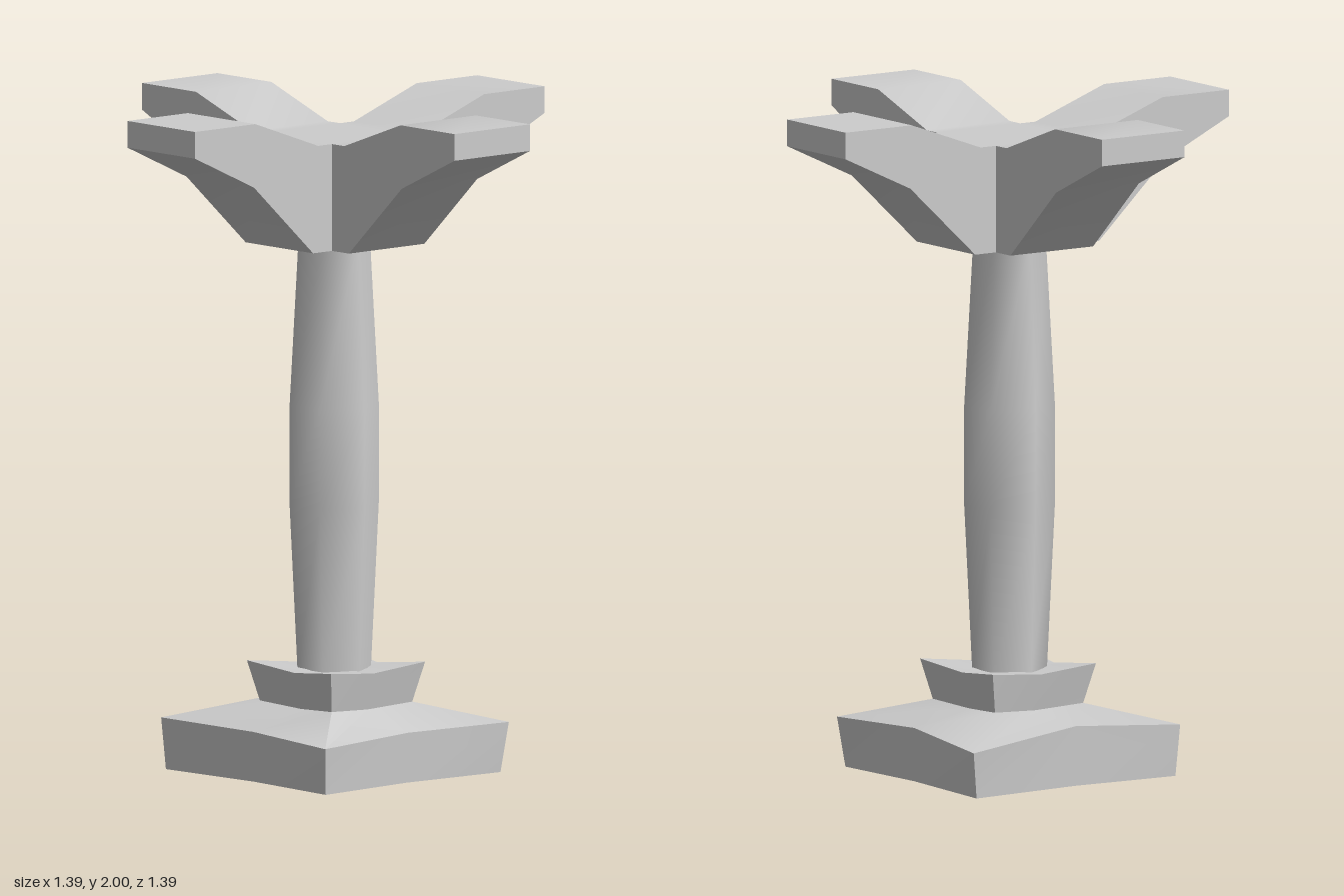
import * as THREE from 'three';
import { toCreasedNormals } from 'three/addons/utils/BufferGeometryUtils.js';

const stone = new THREE.MeshStandardMaterial({ color: 0xcccccc, side: THREE.DoubleSide });
stone.name = 'grey stone';

// Skin over a stack of closed rings of [x, y, z] points
function loft(rings) {
  const n = rings[0].length + 1;
  const pos = [], index = [];
  for (const ring of rings) for (let j = 0; j < n; j++) pos.push(...ring[j % (n - 1)]);
  for (let i = 0; i < rings.length - 1; i++) {
    for (let j = 0; j < n - 1; j++) {
      const a = i * n + j, b = a + 1, d = a + n, c = d + 1;
      index.push(a, d, b, b, d, c);
    }
  }
  const g = new THREE.BufferGeometry();
  g.setAttribute('position', new THREE.Float32BufferAttribute(pos, 3));
  g.setIndex(index);
  g.computeVertexNormals();
  return g;
}

function add(parent, name, geometry) {
  const mesh = new THREE.Mesh(geometry, stone);
  mesh.name = name;
  parent.add(mesh);
  return mesh;
}

// Regular pinched square: corners at c, side middles at m
const pinched = (c, m, yc, ym) => [
  [m, ym, 0], [c, yc, c], [0, ym, m], [-c, yc, c],
  [-m, ym, 0], [-c, yc, -c], [0, ym, -m], [c, yc, -c],
];

export function createModel() {
  const model = new THREE.Group();
  model.name = 'pillar';

  // Rough hollow plinth with a flared collar
  add(model, 'plinth', toCreasedNormals(loft([
    [[0.315, 0, 0], [0.34, 0, 0.345], [0, 0, 0.325], [-0.365, 0, 0.35],
      [-0.345, 0, 0], [-0.37, 0, -0.375], [0, 0, -0.34], [0.34, 0, -0.35]],
    [[0.32, 0.15, 0], [0.355, 0.14, 0.36], [0, 0.15, 0.33], [-0.375, 0.155, 0.36],
      [-0.35, 0.18, 0], [-0.388, 0.14, -0.398], [0, 0.16, -0.34], [0.355, 0.15, -0.37]],
    pinched(0.16, 0.14, 0.21, 0.2),
    pinched(0.187, 0.165, 0.33, 0.31),
    pinched(0.065, 0.085, 0.31, 0.31),
  ]), 0.6));

  // Six-sided shaft, slightly swollen in the middle
  const shaft = [[0.3, 0.111], [0.8, 0.135], [1.1, 0.135], [1.6, 0.108]];
  add(model, 'shaft', loft(shaft.map(([y, r]) =>
    Array.from({ length: 6 }, (_, k) => {
      const a = (k - 1) * Math.PI / 3;
      return [r * Math.cos(a) - 0.008, y, r * Math.sin(a)];
    }))));

  // Capital: a square core with four upswept arms
  const capital = new THREE.Group();
  capital.name = 'capital';
  model.add(capital);
  add(capital, 'capitalCore', new THREE.BoxGeometry(0.3, 0.32, 0.3).translate(0, 1.75, 0));

  const profile = new THREE.Shape([
    [0.15, 1.59], [0.225, 1.59], [0.46, 1.81], [0.695, 1.92],
    [0.695, 2], [0.455, 2], [0.205, 1.91], [0.15, 1.91],
  ].map(([x, y]) => new THREE.Vector2(x, y)));
  const arm = toCreasedNormals(
    new THREE.ExtrudeGeometry(profile, { depth: 0.3, bevelEnabled: false }).translate(0, 0, -0.15), 0.6);
  ['leftArm', 'backArm', 'rightArm', 'frontArm'].forEach((name, i) => {
    add(capital, name, arm).rotation.y = i * Math.PI / 2;
  });

  return model;
}
